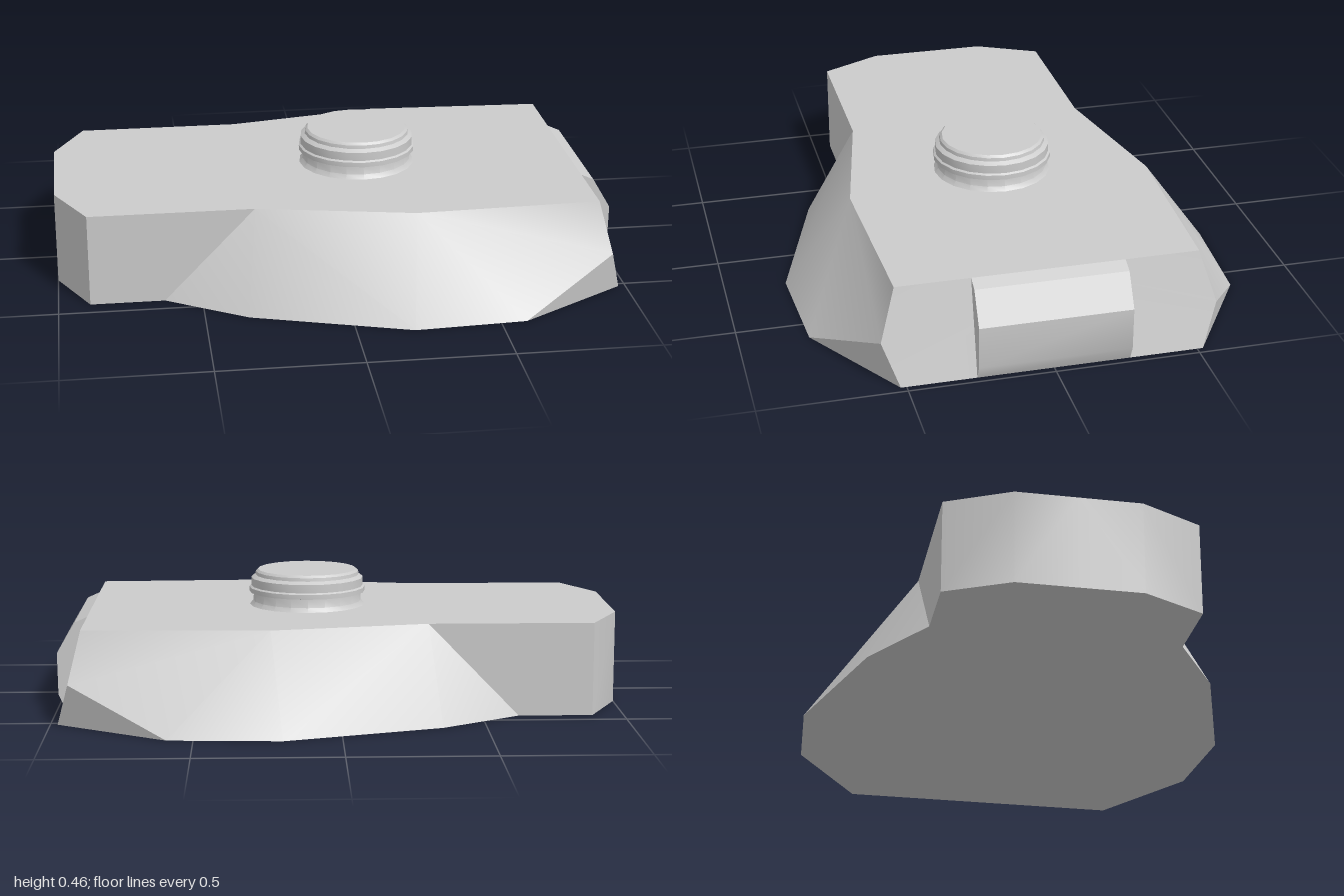
import * as THREE from 'three';
import { toCreasedNormals } from 'three/addons/utils/BufferGeometryUtils.js';

const grey = new THREE.MeshStandardMaterial({ color: 0xcccccc });
const H = 0.33;

// Corners of one half of the body (z >= 0); the other half is mirrored.
const P = {
  rearMidTop: [-1, H, 0], rearMidLow: [-1, 0, 0],
  rearTop: [-1, H, 0.215], rearLow: [-1, 0, 0.215],
  cheekTop: [-0.89, H, 0.435], cheekLow: [-0.89, 0, 0.435],
  waistTop: [-0.31, H, 0.435], waistLow: [-0.63, 0, 0.435],
  flankLow: [-0.35, 0, 0.61],
  wideTop: [0.24, H, 0.545], wideLow: [0.2, 0, 0.782],
  taperLow: [0.59, 0, 0.76],
  endTop: [0.89, H, 0.52], endLow: [0.975, 0, 0.52], endSide: [0.933, 0.15, 0.575],
  endMidTop: [0.89, H, 0], endMidLow: [0.975, 0, 0],
};

// Each face is a fan around its first corner.
const faces = [
  'endMidTop rearMidTop rearTop cheekTop waistTop wideTop endTop',
  'endMidLow rearMidLow rearLow cheekLow waistLow flankLow wideLow taperLow endLow',
  'rearMidTop rearMidLow rearLow rearTop',
  'rearTop rearLow cheekLow cheekTop',
  'cheekTop cheekLow waistLow waistTop',
  'waistTop waistLow flankLow wideLow wideTop',
  'wideTop wideLow taperLow endSide endTop',
  'endSide taperLow endLow',
  'endMidTop endMidLow endLow endSide endTop',
];

function bodyGeometry() {
  const inside = new THREE.Vector3(0.1, 0.16, 0);
  const tri = new THREE.Triangle();
  const n = new THREE.Vector3(), mid = new THREE.Vector3();
  const pos = [];
  for (const side of [1, -1]) {
    for (const face of faces) {
      const c = face.split(' ').map((k) => new THREE.Vector3(P[k][0], P[k][1], P[k][2] * side));
      for (let i = 1; i < c.length - 1; i++) {
        // Turn every triangle to face outward
        tri.set(c[0], c[i], c[i + 1]);
        tri.getNormal(n);
        tri.getMidpoint(mid).sub(inside);
        const order = n.dot(mid) > 0 ? [0, i, i + 1] : [0, i + 1, i];
        for (const k of order) pos.push(c[k].x, c[k].y, c[k].z);
      }
    }
  }
  const g = new THREE.BufferGeometry();
  g.setAttribute('position', new THREE.Float32BufferAttribute(pos, 3));
  return toCreasedNormals(g, 0.5);
}

export function createModel() {
  const model = new THREE.Group();
  const add = (name, geometry) => {
    const mesh = new THREE.Mesh(geometry, grey);
    mesh.name = name;
    model.add(mesh);
    return mesh;
  };

  add('body', bodyGeometry());

  // Raised block in the middle of the +x end
  const profile = new THREE.Shape([
    [0.89, H], [0.975, 0], [0.998, 0.05], [1, 0.2], [0.935, 0.31],
  ].map(([x, y]) => new THREE.Vector2(x, y)));
  const block = new THREE.ExtrudeGeometry(profile, { depth: 0.526, bevelEnabled: false });
  block.translate(0, 0, -0.263);
  add('endBlock', toCreasedNormals(block, 0.5));

  // Round turned knob: flared foot, neck, ring, cap
  const knob = new THREE.LatheGeometry([
    [0.21, H], [0.198, 0.345], [0.195, 0.375], [0.212, 0.378], [0.212, 0.395],
    [0.205, 0.4], [0.205, 0.43], [0.19, 0.44], [0.188, 0.452], [0.18, 0.46], [0, 0.46],
  ].map(([r, y]) => new THREE.Vector2(r, y)), 20);
  add('knob', toCreasedNormals(knob, 0.6)).position.x = 0.105;

  return model;
}
